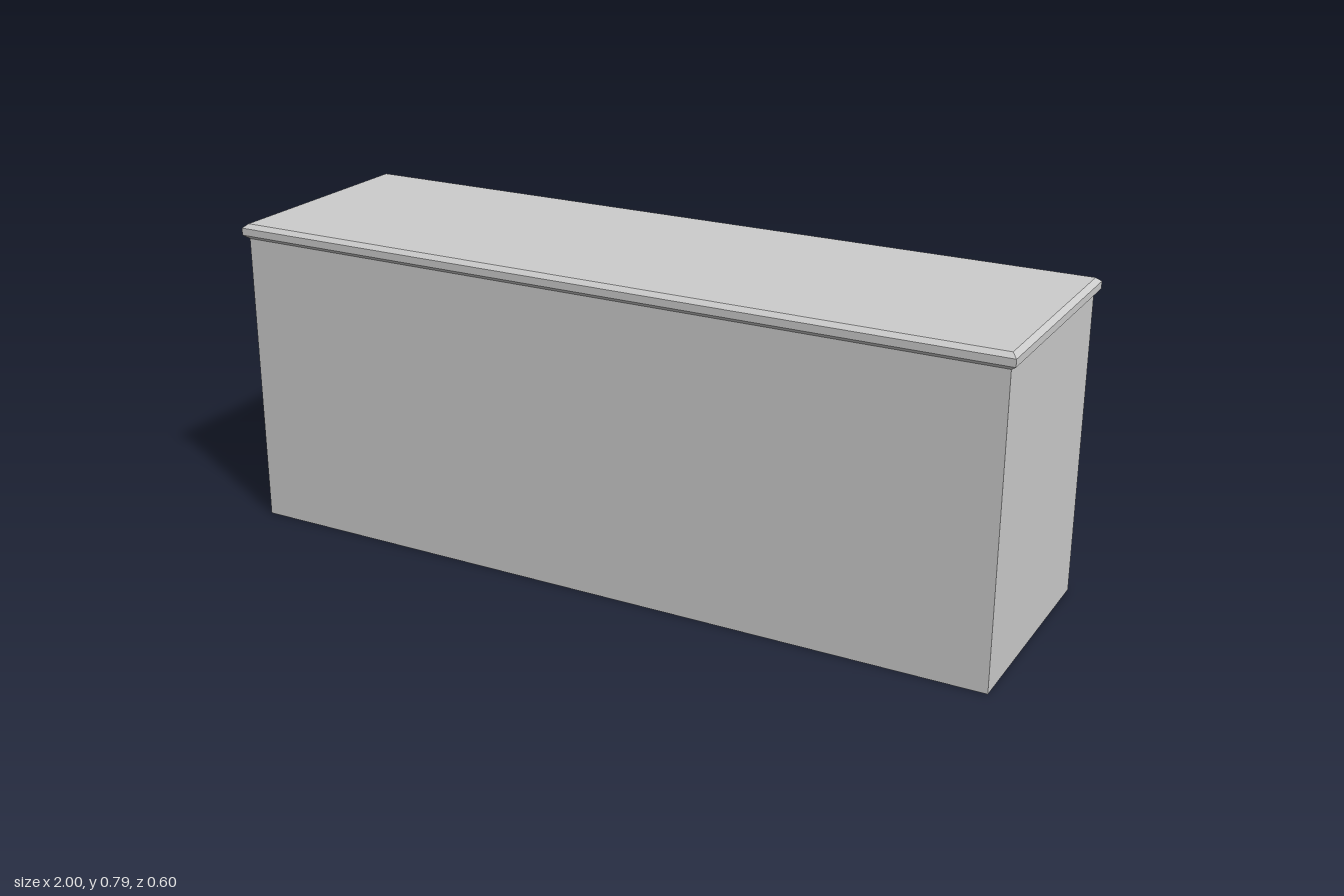
import * as THREE from 'three';

const material = new THREE.MeshStandardMaterial({ color: 0xcccccc, flatShading: true });

// Extrudes a floor-plan outline of [x, z] corners upwards, ending at height top
function extrudePlan(name, corners, options, top) {
  const shape = new THREE.Shape(corners.map(([x, z]) => new THREE.Vector2(x, z)));
  const geometry = new THREE.ExtrudeGeometry(shape, options);
  geometry.rotateX(Math.PI / 2); // plan y becomes z, extrusion runs down
  geometry.translate(0, top, 0);
  const mesh = new THREE.Mesh(geometry, material);
  mesh.name = name;
  return mesh;
}

export function createModel() {
  const model = new THREE.Group();
  model.name = 'counterDesk';

  const bodyX = 0.987, bodyZ = 0.287, bodyTop = 0.75;
  const frontInner = bodyZ - 0.067;       // inside of the front panel
  const leftInner = bodyX - 0.052;        // inside of the left end panel
  const rightInner = -bodyX + 0.063;      // inside of the right end panel
  const pedestalX = -0.438;               // inner side of the pedestal
  const pedestalZ = -bodyZ + 0.049;       // recessed back of the pedestal

  // Body: front panel, two end panels and the pedestal in one plan
  model.add(extrudePlan('body', [
    [-bodyX, bodyZ], [-bodyX, -bodyZ],
    [rightInner, -bodyZ], [rightInner, pedestalZ],
    [pedestalX, pedestalZ], [pedestalX, frontInner],
    [leftInner, frontInner], [leftInner, -bodyZ],
    [bodyX, -bodyZ], [bodyX, bodyZ],
  ], { depth: bodyTop, bevelEnabled: false }, bodyTop));

  // Top slab with chamfered upper and lower edges
  const slabX = 0.988, slabZ = 0.287;
  model.add(extrudePlan('top', [
    [-slabX, -slabZ], [slabX, -slabZ], [slabX, slabZ], [-slabX, slabZ],
  ], {
    depth: 0.018, bevelEnabled: true, bevelSegments: 1,
    bevelSize: 0.012, bevelThickness: 0.01,
  }, 0.778));

  return model;
}
